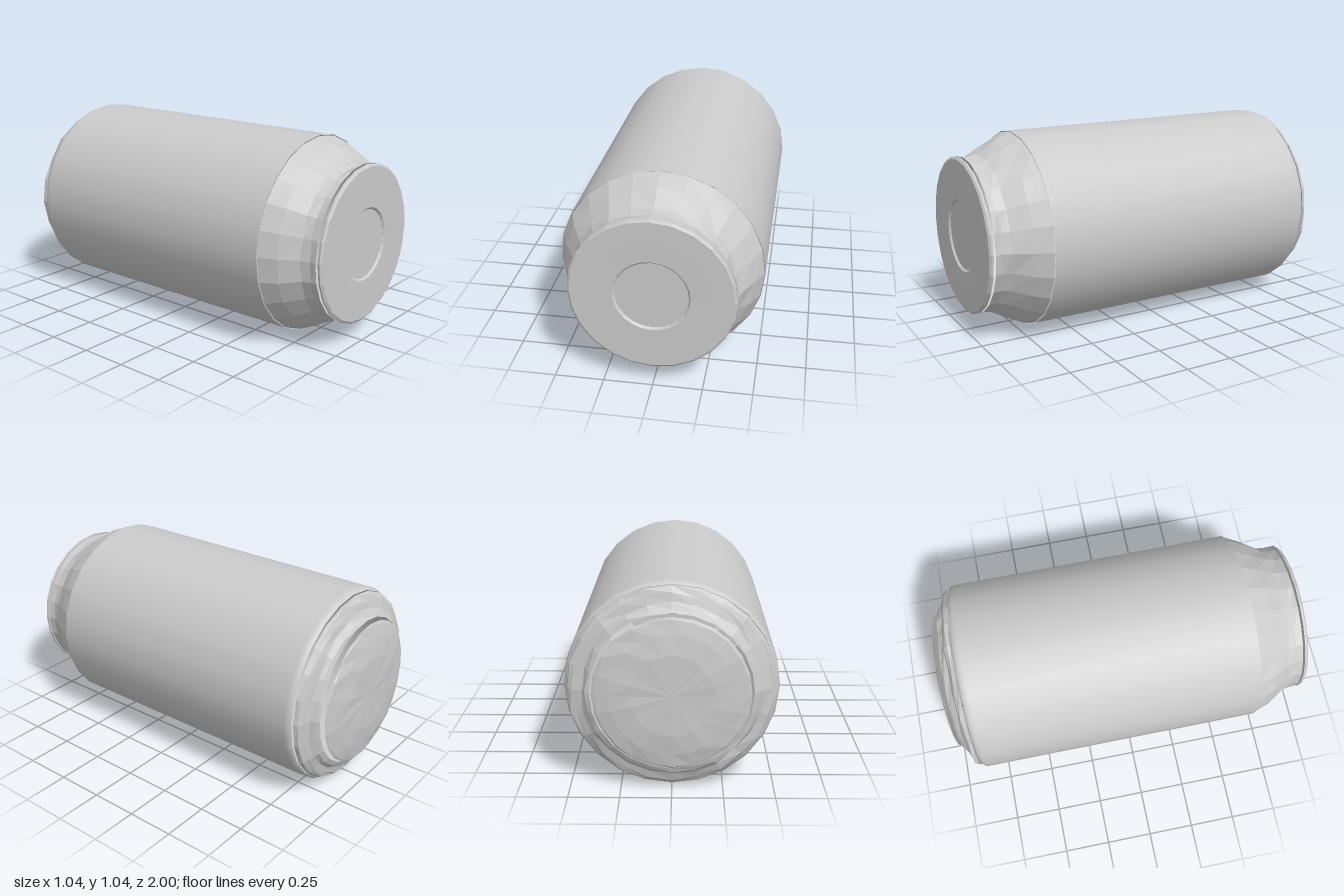
import * as THREE from 'three';

const SIDES = 24;
const AXIS_Y = 0.52;

// Small repeatable wobble in -1..1, based on position so seams stay closed
function wobble(x, y, z, seed) {
  const r = (v) => Math.round(v * 1000) / 1000 + 0;
  const s = Math.sin(r(x) * 127.1 + r(y) * 311.7 + r(z) * 74.7 + seed) * 437.58;
  return (s - Math.floor(s)) * 2 - 1;
}

// Turned part lying along z; profile is a list of [radius, z]
function turned(name, profile, { flat = true, dent = 0, seed = 1, keep = [] } = {}) {
  const geo = new THREE.LatheGeometry(profile.map(([r, z]) => new THREE.Vector2(r, z)), SIDES);
  geo.rotateX(Math.PI / 2);
  if (dent) {
    const p = geo.attributes.position;
    for (let i = 0; i < p.count; i++) {
      if (keep.includes(i % profile.length)) continue;
      const x = p.getX(i), y = p.getY(i), z = p.getZ(i);
      const k = 1 + dent * wobble(x, y, z, seed);
      p.setXYZ(i, x * k, y * k, z + dent * 0.3 * wobble(x, y, z, seed + 9));
    }
    geo.computeVertexNormals();
  }
  const mesh = new THREE.Mesh(geo, new THREE.MeshStandardMaterial({
    color: 0xcccccc, flatShading: flat, side: THREE.DoubleSide,
  }));
  mesh.name = name;
  mesh.position.y = AXIS_Y;
  return mesh;
}

export function createModel() {
  const can = new THREE.Group();
  can.name = 'can';

  // Smooth wall with a slightly rounded rear edge
  can.add(turned('body', [
    [0.505, -0.858], [0.514, -0.85], [0.519, -0.835], [0.519, -0.82], [0.519, 0.68], [0.519, 0.7],
  ], { flat: false }));

  // Faceted, slightly dented neck tapering to the lid
  can.add(turned('neck', [
    [0.515, 0.7], [0.475, 0.79], [0.418, 0.885], [0.406, 0.93], [0.41, 0.965],
  ], { dent: 0.015, seed: 3, keep: [0, 4] }));

  // Lid disc with a shallow round recess
  can.add(turned('lid', [
    [0.41, 0.977], [0.412, 0.988], [0.4, 0.997], [0.3, 0.997],
    [0.19, 0.996], [0.18, 0.986], [0, 0.986],
  ]));

  // Crumpled ring between the wall and the base
  can.add(turned('rearShoulder', [
    [0.39, -0.945], [0.41, -0.935], [0.43, -0.91], [0.47, -0.9], [0.495, -0.885], [0.503, -0.866],
  ], { dent: 0.022, seed: 7, keep: [0, 5] }));

  // Shallow domed base
  can.add(turned('base', [
    [0, -0.999], [0.2, -0.996], [0.3, -0.985], [0.365, -0.972], [0.378, -0.965],
  ], { dent: 0.01, seed: 5, keep: [0, 4] }));

  return can;
}
